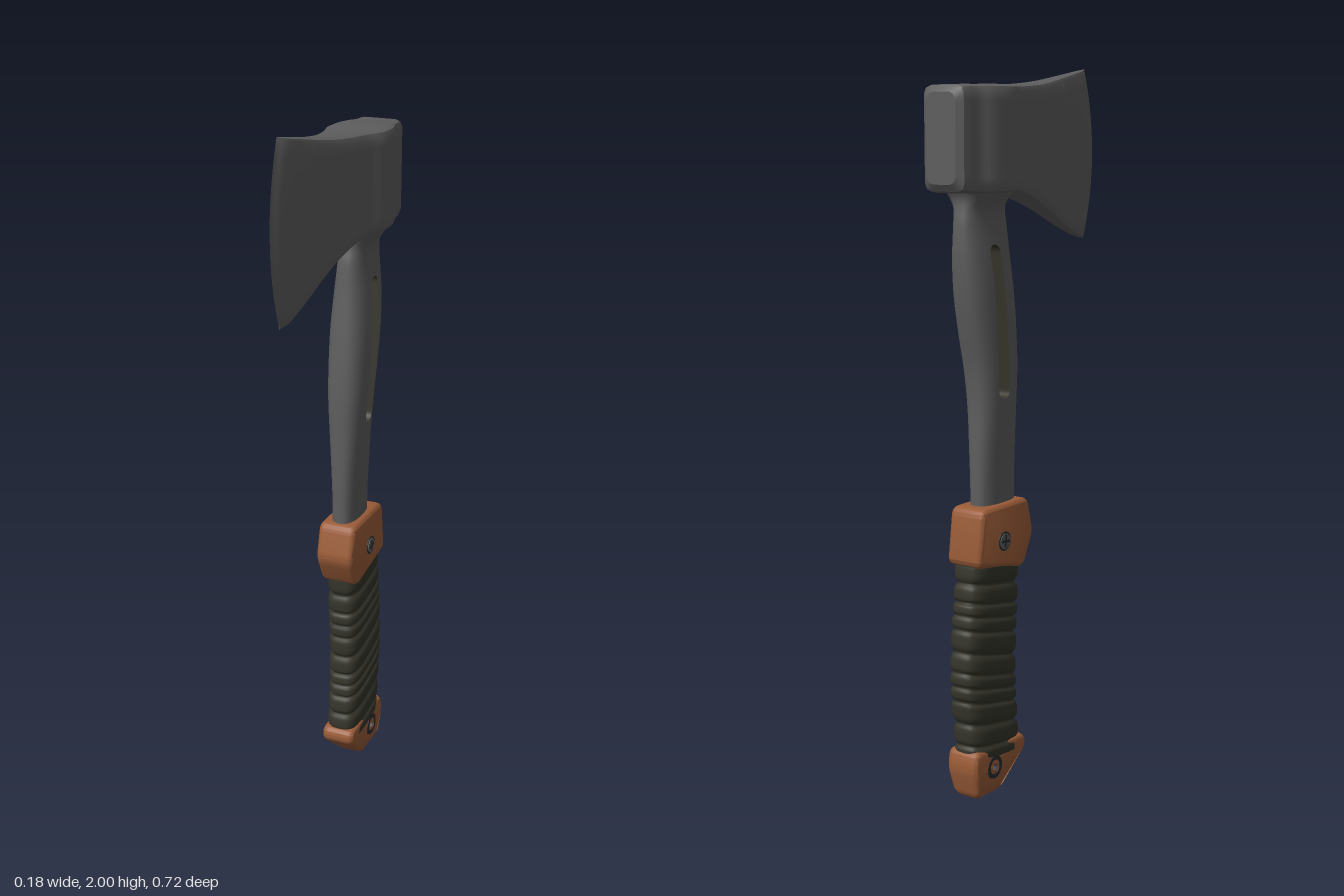
import * as THREE from 'three';
import { toCreasedNormals } from 'three/addons/utils/BufferGeometryUtils.js';

const mat = (name, color, side = THREE.FrontSide) => {
  const m = new THREE.MeshStandardMaterial({ color, side });
  m.name = name;
  return m;
};

// Smooth interpolation of a table whose first column is the key
function sample(table, k) {
  let i = 0;
  while (i < table.length - 2 && k > table[i + 1][0]) i++;
  const a = table[i], b = table[i + 1], h = b[0] - a[0];
  const t = THREE.MathUtils.clamp((k - a[0]) / h, 0, 1);
  const slope = (j, c) => {
    const p = table[Math.max(j - 1, 0)], q = table[Math.min(j + 1, table.length - 1)];
    return (q[c] - p[c]) / (q[0] - p[0]);
  };
  return a.map((v, c) => {
    const t2 = t * t, t3 = t2 * t;
    return (2 * t3 - 3 * t2 + 1) * v + (t3 - 2 * t2 + t) * h * slope(i, c)
      + (3 * t2 - 2 * t3) * b[c] + (t3 - t2) * h * slope(i + 1, c);
  });
}

// Skin over rows of points; optionally closed round each row and capped at both ends
function loft(rows, { closed = false, caps = false } = {}) {
  const n = rows[0].length, index = [], pos = rows.flat();
  const cols = closed ? n : n - 1;
  for (let j = 0; j < rows.length - 1; j++) {
    for (let i = 0; i < cols; i++) {
      const a = j * n + i, b = j * n + (i + 1) % n;
      index.push(a, b, b + n, a, b + n, a + n);
    }
  }
  if (caps) {
    [0, rows.length - 1].forEach((j) => {
      const c = [0, 1, 2].map((k) => rows[j].reduce((s, p) => s + p[k], 0) / n);
      const id = pos.push(c) - 1;
      for (let i = 0; i < n; i++) {
        const a = j * n + i, b = j * n + (i + 1) % n;
        if (j) index.push(id, a, b); else index.push(id, b, a);
      }
    });
  }
  const g = new THREE.BufferGeometry();
  g.setAttribute('position', new THREE.Float32BufferAttribute(pos.flat(), 3));
  g.setIndex(index);
  g.computeVertexNormals();
  return g;
}

const steps = (a, b, n) => Array.from({ length: n + 1 }, (_, i) => a + (b - a) * i / n);

// Side outline in (z, y) with rounded corners
function roundedShape(points, r) {
  const s = new THREE.Shape(), v = points.map((p) => new THREE.Vector2(...p));
  v.forEach((p, i) => {
    const toward = (q) => p.clone().add(q.clone().sub(p).setLength(Math.min(r, p.distanceTo(q) * 0.45)));
    const a = toward(v[(i + v.length - 1) % v.length]), b = toward(v[(i + 1) % v.length]);
    if (i) s.lineTo(a.x, a.y); else s.moveTo(a.x, a.y);
    s.quadraticCurveTo(p.x, p.y, b.x, b.y);
  });
  s.closePath();
  return s;
}

// Bevelled plate of the given half width, lying across x
function plate(shape, half, bevel, thick) {
  const g = new THREE.ExtrudeGeometry(shape, {
    depth: 2 * (half - thick), bevelEnabled: true, bevelSize: bevel, bevelOffset: -bevel,
    bevelThickness: thick, bevelSegments: 4, curveSegments: 16,
  });
  return g.translate(0, 0, thick - half).rotateY(-Math.PI / 2);
}

// Axe head: z, half width, top, bottom, forward bulge of the cutting edge
const HEAD = [
  [-0.357, 0.046, 1.922, 1.692, 0], [-0.345, 0.062, 1.938, 1.675, 0], [-0.28, 0.071, 1.942, 1.668, 0],
  [-0.25, 0.083, 1.943, 1.668, 0], [-0.2, 0.09, 1.944, 1.668, 0], [-0.155, 0.087, 1.944, 1.668, 0],
  [-0.1, 0.069, 1.946, 1.668, 0], [0, 0.051, 1.952, 1.643, 0.004], [0.1, 0.036, 1.963, 1.605, 0.012],
  [0.2, 0.023, 1.98, 1.56, 0.027], [0.285, 0.013, 1.995, 1.53, 0.045], [0.314, 0.001, 2, 1.524, 0.046],
];
function headGeometry() {
  const rows = steps(HEAD[0][0], HEAD.at(-1)[0], 48).map((key) => {
    const [z, w, top, bottom, bulge] = sample(HEAD, key);
    const c = Math.min(0.02, w * 0.45);
    const half = [[w - c, bottom], [w - c * 0.3, bottom + c * 0.3],
      ...steps(bottom + c, top - c, 12).map((y) => [w, y]), [w - c * 0.3, top - c * 0.3], [w - c, top]];
    const loop = [...half, ...half.map(([x, y]) => [-x, y]).reverse()];
    return loop.map(([x, y]) => {
      const v = 2 * (y - bottom) / (top - bottom) - 1;
      return [x, y, z + bulge * (1 - v * v)];
    });
  });
  return toCreasedNormals(loft(rows, { closed: true, caps: true }), 0.55);
}

// Handle: y, front z, back z, half width
const HANDLE = [
  [0.76, -0.06, -0.22, 0.036], [0.9, -0.06, -0.22, 0.038], [1.0, -0.06, -0.22, 0.043],
  [1.1, -0.06, -0.22, 0.049], [1.2, -0.06, -0.23, 0.055], [1.3, -0.066, -0.252, 0.058],
  [1.4, -0.076, -0.272, 0.058], [1.5, -0.088, -0.284, 0.051], [1.59, -0.097, -0.285, 0.042],
  [1.63, -0.107, -0.28, 0.045], [1.655, -0.105, -0.28, 0.062], [1.69, -0.085, -0.3, 0.084],
];
const SLOT = { bottom: 1.12, top: 1.535, r: 0.023 };

// One strand of the handle on the front (dir 1) or back (dir -1) of the slot
function strandRows(dir) {
  const ends = steps(0, 1, 6).map((t) => SLOT.r * (1 - Math.cos(t * Math.PI / 2)));
  const levels = [...steps(0.76, SLOT.bottom - 0.01, 12), ...ends.map((e) => SLOT.bottom + e),
    ...steps(SLOT.bottom + 0.04, SLOT.top - 0.04, 16), ...ends.map((e) => SLOT.top - e).reverse(),
    ...steps(SLOT.top + 0.01, 1.69, 14)];
  return levels.map((y) => {
    const [, front, back, w] = sample(HANDLE, y);
    const mid = (front + back) / 2, half = (front - back) / 2;
    const d = Math.min(y - SLOT.bottom, SLOT.top - y);
    const gap = d <= 0 ? 0 : d >= SLOT.r ? SLOT.r : Math.sqrt(SLOT.r ** 2 - (SLOT.r - d) ** 2);
    const slotZ = THREE.MathUtils.mapLinear(y, SLOT.bottom, SLOT.top, -0.15, -0.192);
    const t0 = THREE.MathUtils.clamp((slotZ + dir * gap - mid) / half, -0.9, 0.9);
    return steps(-Math.PI / 2, Math.PI / 2, 24).map((phi) => {
      const t = t0 + (dir - t0) * Math.cos(phi);
      const x = w * Math.pow(Math.max(0, 1 - Math.abs(t) ** 2.6), 1 / 2.6);
      return [Math.sign(phi) * dir * x, y, mid + half * t];
    });
  });
}

// Cord wrap: y, front z, back z
const GRIP = [[0.11, -0.06, -0.28], [0.2, -0.06, -0.288], [0.3, -0.068, -0.3],
  [0.45, -0.069, -0.295], [0.56, -0.062, -0.283], [0.67, -0.06, -0.272]];
function gripGeometry() {
  const rows = steps(0.11, 0.665, 120).map((y, j) => {
    const [, front, back] = sample(GRIP, y);
    const u = j / 120, phase = u * 11 + 0.22 * Math.sin(u * 17);
    const groove = 0.011 * Math.abs(2 * (phase - Math.floor(phase)) - 1) ** 4;
    const tilt = 0.12 + 0.13 * Math.sin(u * Math.PI);
    const hz = (front - back) / 2 - groove, w = 0.053 - groove;
    return steps(0, Math.PI * 2, 36).slice(0, -1).map((a) => {
      const pow = (v) => Math.sign(v) * Math.abs(v) ** 0.6;
      const dz = hz * pow(Math.cos(a));
      return [w * pow(Math.sin(a)), y - tilt * dz, (front + back) / 2 + dz];
    });
  });
  return loft(rows, { closed: true, caps: true });
}

export function createModel() {
  const model = new THREE.Group();
  const steel = mat('steel grey', 0x5e5e5e);
  const brown = mat('copper brown', 0x9a5c38);
  const cord = mat('dark olive', 0x35352b);
  const slotMat = mat('slot lining', 0x35352b, THREE.DoubleSide);
  const dark = mat('dark metal', 0x2b2d2e);
  const add = (name, geometry, material, parent = model) => {
    const m = new THREE.Mesh(geometry, material);
    m.name = name;
    parent.add(m);
    return m;
  };

  add('axeHead', headGeometry(), steel);

  // Handle strands and the lining of the slot between them
  [[1, 'Front'], [-1, 'Back']].forEach(([dir, label]) => {
    const rows = strandRows(dir);
    add('handle' + label, loft(rows), steel);
    const wall = rows.filter((r) => r[0][1] > SLOT.bottom - 0.001 && r[0][1] < SLOT.top + 0.001)
      .map((r) => [r.at(-1), r[0]]);
    add('slotWall' + label, loft(wall), slotMat);
  });

  add('gripWrap', gripGeometry(), cord);

  // Collar at the top of the grip
  const collar = roundedShape([[-0.065, 0.635], [-0.278, 0.675], [-0.257, 0.832], [-0.043, 0.832], [-0.017, 0.73]].reverse(), 0.025);
  add('collar', toCreasedNormals(plate(collar, 0.056, 0.014, 0.016), 0.7), brown);

  // Cross-head screws on both sides of the collar
  [1, -1].forEach((s) => {
    const screw = new THREE.Group();
    screw.name = s > 0 ? 'leftScrew' : 'rightScrew';
    screw.position.set(s * 0.056, 0.73, -0.162);
    add('screwRim', new THREE.CylinderGeometry(0.027, 0.027, 0.004, 24).rotateZ(Math.PI / 2), dark, screw);
    add('screwHead', new THREE.CylinderGeometry(0.022, 0.022, 0.008, 24).rotateZ(Math.PI / 2), steel, screw);
    [0, Math.PI / 2].forEach((a) => {
      add('screwSlot', new THREE.BoxGeometry(0.01, 0.036, 0.007).rotateX(a + 0.1), dark, screw);
    });
    model.add(screw);
  });

  // Butt cap, narrowed toward its rounded bottom
  const cap = roundedShape([[-0.052, 0.143], [-0.044, 0.105], [-0.165, 0], [-0.268, 0.008], [-0.293, 0.1], [-0.284, 0.155]], 0.024);
  const hole = new THREE.Path();
  hole.absarc(-0.202, 0.09, 0.022, 0, Math.PI * 2, true);
  cap.holes.push(hole);
  const capGeo = plate(cap, 0.05, 0.012, 0.02), p = capGeo.attributes.position;
  for (let i = 0; i < p.count; i++) {
    const k = Math.max(0, 1 - p.getY(i) / 0.055);
    p.setX(i, p.getX(i) * (1 - 0.45 * k * k));
  }
  add('buttCap', toCreasedNormals(capGeo, 0.7), brown);

  // Eyelet through the butt cap
  const ring = [[0.021, -0.051], [0.033, -0.051], [0.033, 0.051], [0.021, 0.051], [0.021, -0.051]];
  const eyelet = new THREE.LatheGeometry(ring.map((q) => new THREE.Vector2(...q)), 28);
  add('eyelet', toCreasedNormals(eyelet.rotateZ(Math.PI / 2), 0.6), dark).position.set(0, 0.09, -0.202);

  return model;
}
